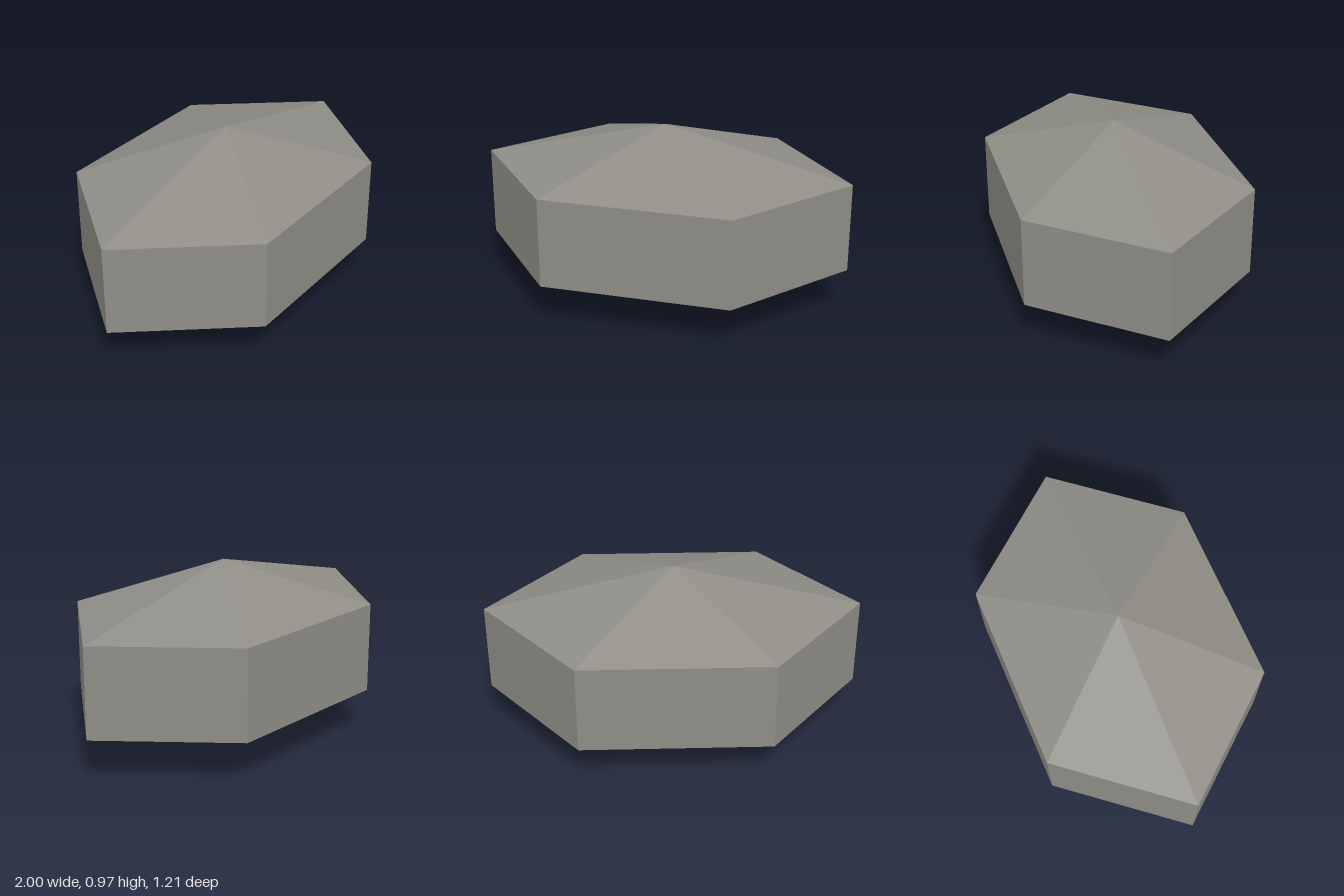
import * as THREE from 'three';

// Six-sided stone: a straight girdle between two shallow pyramids
const SIDES = 6;
const HEIGHT = 0.97;
const DEPTH_SCALE = 0.7;
const GIRDLE_LOW = HEIGHT / 4;
const GIRDLE_HIGH = HEIGHT * 3 / 4;

export function createModel() {
  const group = new THREE.Group();
  group.name = 'hexagonalStone';

  const stone = new THREE.MeshStandardMaterial({ color: 0x8f8d86, flatShading: true });
  stone.name = 'warm grey stone';

  // Each band is a faceted ring with corners on the x axis
  const addBand = (name, topRadius, bottomRadius, y0, y1) => {
    const indexed = new THREE.CylinderGeometry(
      topRadius, bottomRadius, y1 - y0, SIDES, 1, true, Math.PI / 2);
    const geometry = indexed.toNonIndexed();
    geometry.scale(1, 1, DEPTH_SCALE);
    geometry.translate(0, (y0 + y1) / 2, 0);
    geometry.computeVertexNormals();
    const mesh = new THREE.Mesh(geometry, stone);
    mesh.name = name;
    group.add(mesh);
  };

  addBand('lowerPyramid', 1, 0, 0, GIRDLE_LOW);
  addBand('girdle', 1, 1, GIRDLE_LOW, GIRDLE_HIGH);
  addBand('upperPyramid', 0, 1, GIRDLE_HIGH, HEIGHT);

  return group;
}
